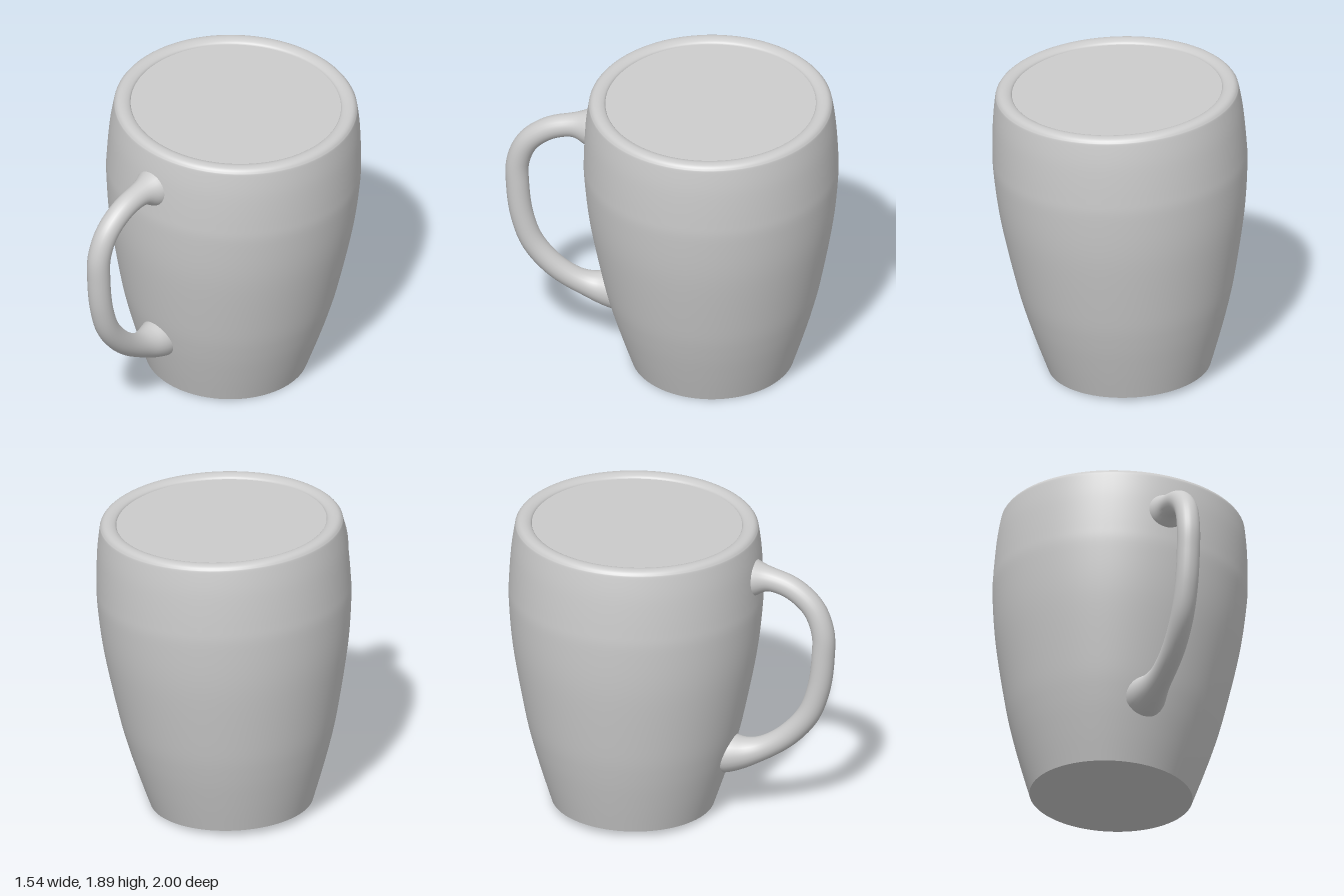
import * as THREE from 'three';

const grey = () => new THREE.MeshStandardMaterial({ color: 0xcccccc });

function addMesh(parent, name, geometry) {
  const mesh = new THREE.Mesh(geometry, grey());
  mesh.name = name;
  parent.add(mesh);
  return mesh;
}

// Tube whose radius swells by a rule along its length
function flaredTube(points, radiusAt, segments = 96, sides = 24) {
  const curve = new THREE.CatmullRomCurve3(points.map(p => new THREE.Vector3(...p)));
  const geo = new THREE.TubeGeometry(curve, segments, 1, sides, false);
  const pos = geo.attributes.position;
  const v = new THREE.Vector3();
  for (let i = 0; i <= segments; i++) {
    const t = i / segments;
    const centre = curve.getPointAt(t);
    for (let j = 0; j <= sides; j++) {
      const k = i * (sides + 1) + j;
      v.fromBufferAttribute(pos, k).sub(centre).multiplyScalar(radiusAt(t)).add(centre);
      pos.setXYZ(k, v.x, v.y, v.z);
    }
  }
  geo.computeVertexNormals();
  // Weld the shading along the tube's seam
  const n = geo.attributes.normal;
  for (let i = 0; i <= segments; i++) {
    const a = i * (sides + 1), b = a + sides;
    v.fromBufferAttribute(n, a).add(new THREE.Vector3().fromBufferAttribute(n, b)).normalize();
    n.setXYZ(a, v.x, v.y, v.z);
    n.setXYZ(b, v.x, v.y, v.z);
  }
  return geo;
}

export function createModel() {
  const model = new THREE.Group();
  model.name = 'mug';

  // Cup leans slightly towards +x
  const cup = new THREE.Group();
  cup.name = 'cup';
  cup.position.set(-0.055, 0.023, -0.22);
  cup.rotation.set(-0.008, 0, -0.041);
  model.add(cup);

  // Bulging wall, rounded lip and short inner edge
  const wall = new THREE.SplineCurve([
    [0.492, 0], [0.553, 0.19], [0.612, 0.39], [0.662, 0.6], [0.735, 1.0], [0.765, 1.3],
    [0.766, 1.45], [0.755, 1.65], [0.737, 1.79], [0.728, 1.82], [0.71, 1.837],
    [0.685, 1.842], [0.66, 1.838], [0.638, 1.825], [0.628, 1.8],
  ].map(p => new THREE.Vector2(...p)));
  addMesh(cup, 'wallAndRim', new THREE.LatheGeometry(wall.getPoints(84), 80));

  // Flat fill just below the lip
  const fill = addMesh(cup, 'fill', new THREE.CircleGeometry(0.64, 80));
  fill.rotation.x = -Math.PI / 2;
  fill.position.y = 1.818;

  // Flat underside
  const base = addMesh(cup, 'base', new THREE.CircleGeometry(0.492, 80));
  base.rotation.x = Math.PI / 2;

  // Handle: swung sideways a little, swelling where it meets the wall
  const path = [
    [0.16, 1.595, 0.47], [0.185, 1.597, 0.6], [0.21, 1.555, 0.74], [0.228, 1.45, 0.865],
    [0.232, 1.3, 0.927], [0.23, 1.13, 0.93], [0.222, 0.92, 0.905], [0.205, 0.74, 0.845],
    [0.175, 0.59, 0.73], [0.135, 0.49, 0.6], [0.095, 0.44, 0.48], [0.055, 0.42, 0.34],
  ];
  const flare = t => 0.07 + 0.05 * Math.exp(-((t / 0.045) ** 2))
    + 0.055 * Math.exp(-(((1 - t) / 0.085) ** 2));
  addMesh(model, 'handle', flaredTube(path, flare));

  return model;
}
